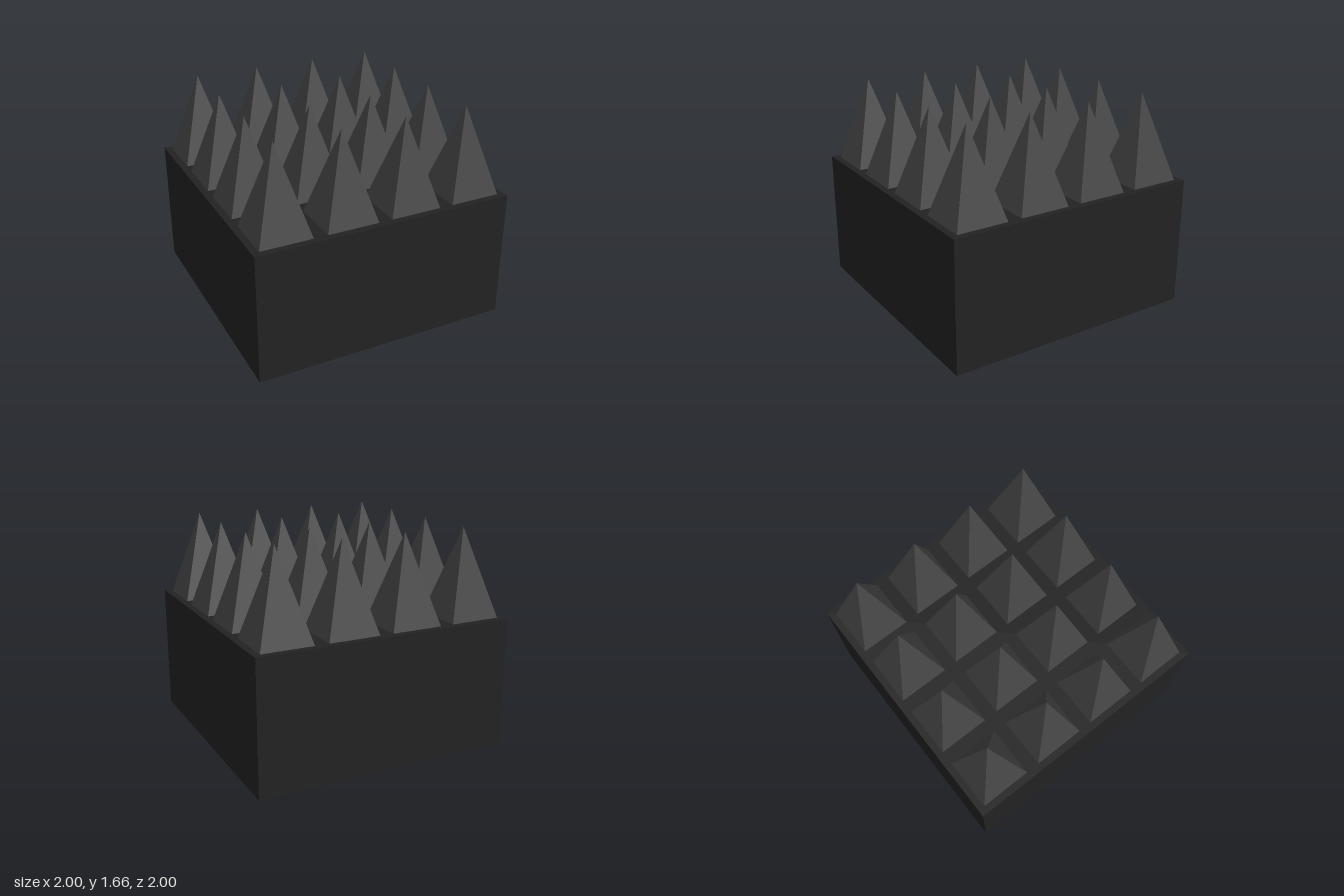
import * as THREE from 'three';

export function createModel() {
  const model = new THREE.Group();
  const baseMaterial = new THREE.MeshStandardMaterial({ color: 0x222222 });
  const spikeMaterial = new THREE.MeshStandardMaterial({ color: 0x444444, flatShading: true });

  // Solid block
  const base = new THREE.Mesh(new THREE.BoxGeometry(2, 1, 2), baseMaterial);
  base.name = 'base';
  base.position.y = 0.5;
  model.add(base);

  // Four-sided pyramid, turned so its sides run along x and z
  const halfWidth = 0.197, height = 0.665;
  const spikeGeometry = new THREE.ConeGeometry(halfWidth * Math.SQRT2, height, 4);
  spikeGeometry.rotateY(Math.PI / 4);
  spikeGeometry.translate(0, height / 2, 0);

  // 4 x 4 grid of spikes on the top of the block
  const spikes = new THREE.Group();
  spikes.name = 'spikes';
  for (let row = 0; row < 4; row++) {
    for (let column = 0; column < 4; column++) {
      const spike = new THREE.Mesh(spikeGeometry, spikeMaterial);
      spike.name = 'spike';
      spike.position.set(-0.75 + column * 0.5, 1, -0.75 + row * 0.5);
      spikes.add(spike);
    }
  }
  model.add(spikes);
  return model;
}
